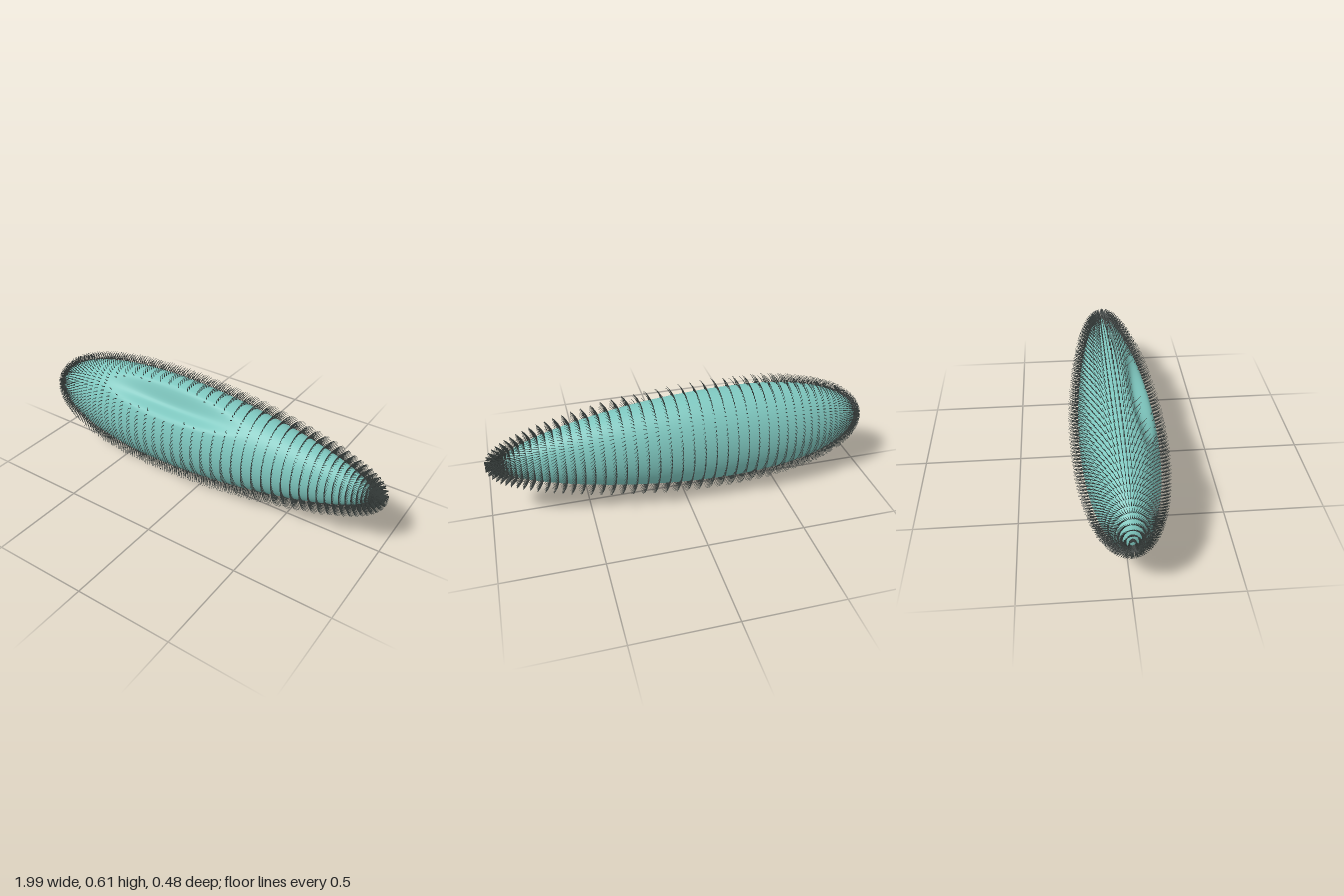
import * as THREE from 'three';
import { mergeGeometries, mergeVertices } from 'three/addons/utils/BufferGeometryUtils.js';

const CENTRE_Y = 0.31, HALF_HEIGHT = 0.255, HALF_DEPTH = 0.19;

// 1 at the middle of the mouth groove, 0 at its rim and beyond
function groove(x, around) {
  const dx = (x + 0.15) / 0.46, da = (around - 0.69) / 0.42;
  return Math.max(0, 1 - dx * dx - da * da);
}

// Point on the body: along runs 0..PI from blunt to narrow end, around runs from top towards the front
function bodyPoint(along, around) {
  const u = -Math.cos(along);
  const x = -0.02 + 0.95 * u;
  const girth = Math.sin(along) * (0.97 - 0.24 * u) * (1 - 0.26 * groove(x, around) ** 1.6);
  return new THREE.Vector3(
    x,
    CENTRE_Y + HALF_HEIGHT * girth * Math.cos(around),
    HALF_DEPTH * girth * Math.sin(around)
  );
}

function bodyNormal(along, around) {
  const e = 0.001;
  const a = bodyPoint(along + e, around).sub(bodyPoint(along - e, around));
  const b = bodyPoint(along, around + e).sub(bodyPoint(along, around - e));
  return b.cross(a).normalize().negate();
}

// Smooth closed body with a dent
function makeBody() {
  let geo = new THREE.SphereGeometry(1, 120, 96);
  geo.rotateZ(Math.PI / 2);
  const pos = geo.attributes.position;
  for (let i = 0; i < pos.count; i++) {
    const along = Math.acos(THREE.MathUtils.clamp(-pos.getX(i), -1, 1));
    const p = bodyPoint(along, Math.atan2(pos.getZ(i), pos.getY(i)));
    pos.setXYZ(i, p.x, p.y, p.z);
  }
  geo.deleteAttribute('uv');
  geo.deleteAttribute('normal');
  geo = mergeVertices(geo, 1e-6);
  geo.computeVertexNormals();
  return geo;
}

// One tapered hair that leaves the surface along its normal and curls towards +x
function makeHair(root, normal) {
  const points = [0, 0.35, 0.7, 1].map((s) =>
    root.clone().addScaledVector(normal, 0.051 * s - 0.002).add(new THREE.Vector3(0.02 * s * s, 0, 0))
  );
  const segments = 4, sides = 3;
  const curve = new THREE.CatmullRomCurve3(points);
  const geo = new THREE.TubeGeometry(curve, segments, 0.0028, sides);
  const pos = geo.attributes.position, v = new THREE.Vector3();
  for (let i = 0; i < pos.count; i++) {
    const s = Math.floor(i / (sides + 1)) / segments;
    const c = curve.getPointAt(s);
    v.fromBufferAttribute(pos, i).sub(c).multiplyScalar(1 - 0.75 * s).add(c);
    pos.setXYZ(i, v.x, v.y, v.z);
  }
  geo.deleteAttribute('uv');
  return geo;
}

// Rings of hairs over the whole body, leaving the groove bare
function makeCilia() {
  const rings = 52, columns = 72, hairs = [];
  for (let i = 1; i < rings; i++) {
    const along = (i / rings) * Math.PI;
    for (let j = 0; j < columns; j++) {
      let around = (j / columns) * Math.PI * 2;
      if (around > Math.PI) around -= Math.PI * 2;
      const root = bodyPoint(along, around);
      if (groove(root.x, around) > 0.25) continue;
      const normal = bodyNormal(along, around);
      // keep the normal pointing away from the long axis
      if (normal.y * (root.y - CENTRE_Y) + normal.z * root.z < 0) normal.negate();
      hairs.push(makeHair(root, normal));
    }
  }
  return mergeGeometries(hairs);
}

export function createModel() {
  const model = new THREE.Group();
  model.name = 'ciliate';

  const body = new THREE.Mesh(makeBody(), new THREE.MeshStandardMaterial({ color: 0x7fc8c0 }));
  body.name = 'body';

  const cilia = new THREE.Mesh(makeCilia(), new THREE.MeshStandardMaterial({ color: 0x39403e }));
  cilia.name = 'cilia';

  model.add(body, cilia);
  return model;
}
